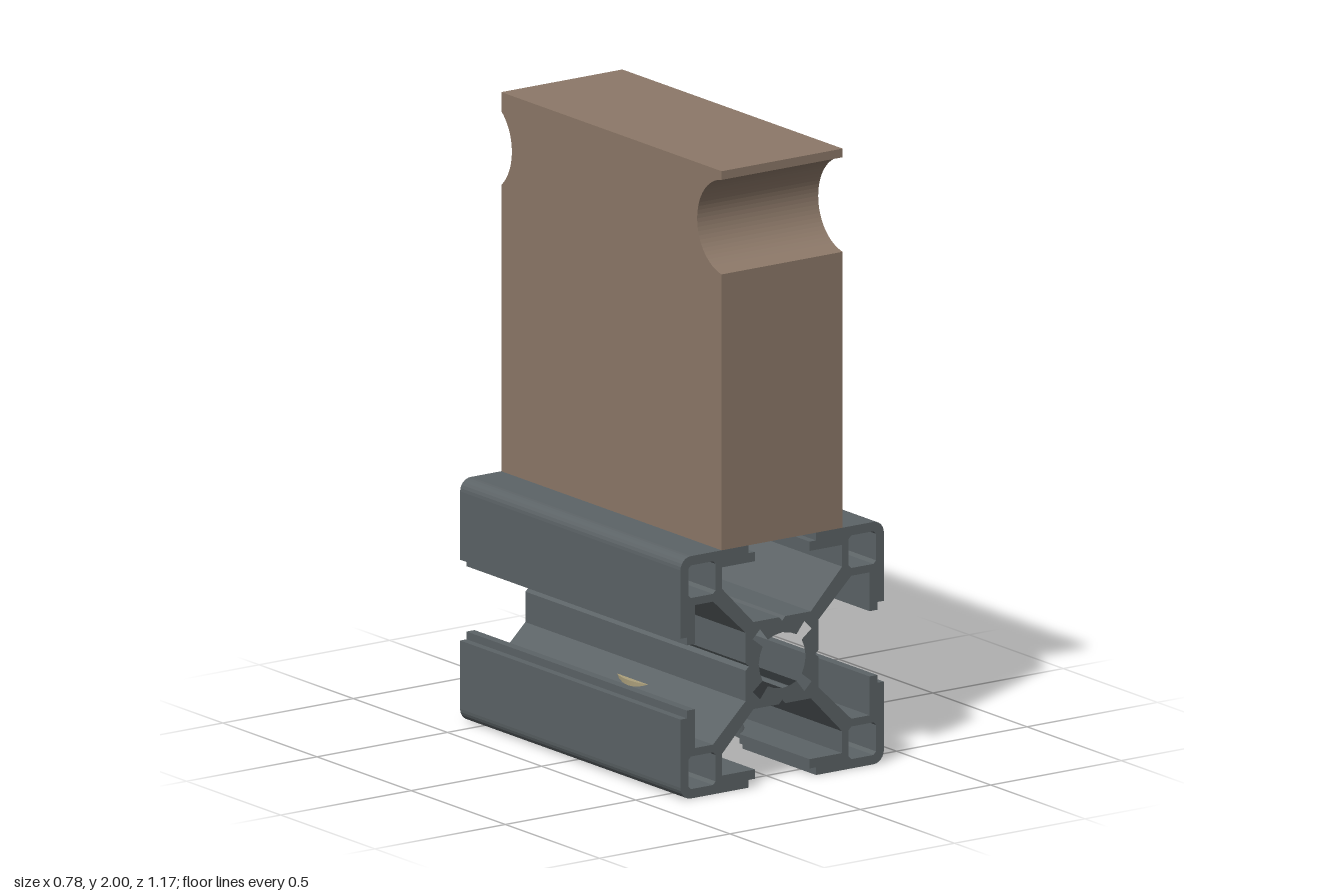
import * as THREE from 'three';

const paint = (name, color) => {
  const m = new THREE.MeshStandardMaterial({ color });
  m.name = name;
  return m;
};

const LENGTH = 1.17, HALF = LENGTH / 2, MID = 0.39, BOLT_Z = 0.043;

export function createModel() {
  const group = new THREE.Group();
  const brown = paint('brown block', 0x8c7868);
  const grey = paint('grey rail', 0x5c6366);
  const brass = paint('pale brass', 0xab9f7b);

  const add = (name, geometry, material, x = 0, y = 0, z = 0) => {
    const mesh = new THREE.Mesh(geometry, material);
    mesh.name = name;
    mesh.position.set(x, y, z);
    group.add(mesh);
    return mesh;
  };
  const extrude = (shape, depth) =>
    new THREE.ExtrudeGeometry(shape, { depth, bevelEnabled: false, curveSegments: 16 });
  const vectors = (points) => points.map(([x, y]) => new THREE.Vector2(x, y));
  const turn = ([x, y], k) => {
    for (let i = 0; i < k; i++) [x, y] = [y, -x];
    return [x, y];
  };

  // Slotted rail: one eighth of the section, mirrored and turned four times
  const arm = [[0.012, 0.14], [0.11, 0.14], [0.23, 0.265], [0.23, 0.335]];
  const lip = [[0.105, 0.335], [0.105, 0.365], [0.13, 0.365], [0.13, 0.39]];
  const corner = [];
  for (let i = 0; i <= 6; i++) {
    const a = Math.PI / 2 * (1 - i / 6);
    corner.push([0.35 + 0.04 * Math.cos(a), 0.35 + 0.04 * Math.sin(a)]);
  }
  const flip = (points) => points.map(([x, y]) => [y, x]).reverse();
  const outline = [];
  for (let k = 0; k < 4; k++) {
    // the bottom lips are separate, as the bolt access hole cuts them
    const first = [...arm, ...(k === 2 ? [[0.23, 0.39]] : lip)];
    const second = [...arm, ...(k === 1 ? [[0.23, 0.39]] : lip)];
    const quarter = [[0, 0.127], ...first, ...corner, ...flip(second)];
    outline.push(...quarter.map((p) => turn(p, k)));
  }
  const section = new THREE.Shape(vectors(outline));

  // Square corner chambers
  for (let k = 0; k < 4; k++) {
    const square = [[0.265, 0.255], [0.35, 0.255], [0.36, 0.265], [0.36, 0.35],
      [0.35, 0.36], [0.265, 0.36], [0.255, 0.35], [0.255, 0.265]];
    section.holes.push(new THREE.Path(vectors(square.map((p) => turn(p, k)))));
  }
  // Central bore with four diagonal lobes
  const bore = [];
  for (let k = 0; k < 4; k++) {
    const lobed = [[0, 0.09], [0.03, 0.085], [0.055, 0.075], [0.085, 0.113],
      [0.113, 0.085], [0.075, 0.055], [0.085, 0.03]];
    bore.push(...lobed.map((p) => turn(p, k)));
  }
  section.holes.push(new THREE.Path(vectors(bore)));
  add('rail', extrude(section, LENGTH), grey, 0, MID, -HALF);

  // Bottom slot lips with a round notch for the bolt head
  const notchedLip = (side, inner, bottom, top) => {
    const r = 0.2, a = Math.acos(inner / r);
    const points = [[0.23, -HALF], [0.23, HALF], [inner, HALF]];
    for (let i = 0; i <= 16; i++) {
      const t = a - 2 * a * i / 16;
      points.push([r * Math.cos(t), BOLT_Z + r * Math.sin(t)]);
    }
    points.push([inner, -HALF]);
    const shape = new THREE.Shape(vectors(points.map(([x, z]) => [x * side, z])));
    add('bottomLip', extrude(shape, top - bottom).rotateX(Math.PI / 2), grey, 0, top, 0);
  };
  for (const side of [1, -1]) {
    notchedLip(side, 0.13, 0, 0.025);
    notchedLip(side, 0.105, 0.025, 0.055);
  }

  // Upright block, drawn from the side with a round notch at each end
  const blockShape = () => {
    const s = new THREE.Shape();
    const r = 0.154, y = 1.82;
    const back = Math.acos((0.683 - HALF) / r), front = Math.acos((0.609 - HALF) / r);
    s.moveTo(-HALF, 0.78);
    s.lineTo(HALF, 0.78);
    s.absarc(0.683, y, r, Math.PI + back, Math.PI - back, true);
    s.lineTo(HALF, 2);
    s.lineTo(-HALF, 2);
    s.absarc(-0.609, y, r, front, -front, true);
    s.closePath();
    return s;
  };
  const WIDTH = 0.232, FLOOR = 0.17;
  add('block', extrude(blockShape(), WIDTH + FLOOR).rotateY(Math.PI / 2), brown, -WIDTH);

  // Thin left layer of the block, pierced by the blind hole
  const pierced = blockShape();
  pierced.holes.push(new THREE.Path().absarc(-BOLT_Z, 1.302, 0.131, 0, Math.PI * 2, true));
  add('blockHoleLayer', extrude(pierced, WIDTH - FLOOR).rotateY(Math.PI / 2), brown, FLOOR);

  // Barrel nut in the hole, and the bolt that clamps block to rail
  const rod = (name, radius, bottom, top) =>
    add(name, new THREE.CylinderGeometry(radius, radius, top - bottom, 40), brass,
      0, (bottom + top) / 2, BOLT_Z);
  add('barrelNut', new THREE.CylinderGeometry(0.13, 0.13, 0.345, 40).rotateZ(Math.PI / 2),
    brass, 0.0025, 1.302, BOLT_Z);
  rod('boltShaft', 0.078, 0.2, 1.25);
  rod('washer', 0.2, 0.2, 0.24);
  rod('boltHead', 0.13, 0.04, 0.2);

  return group;
}
